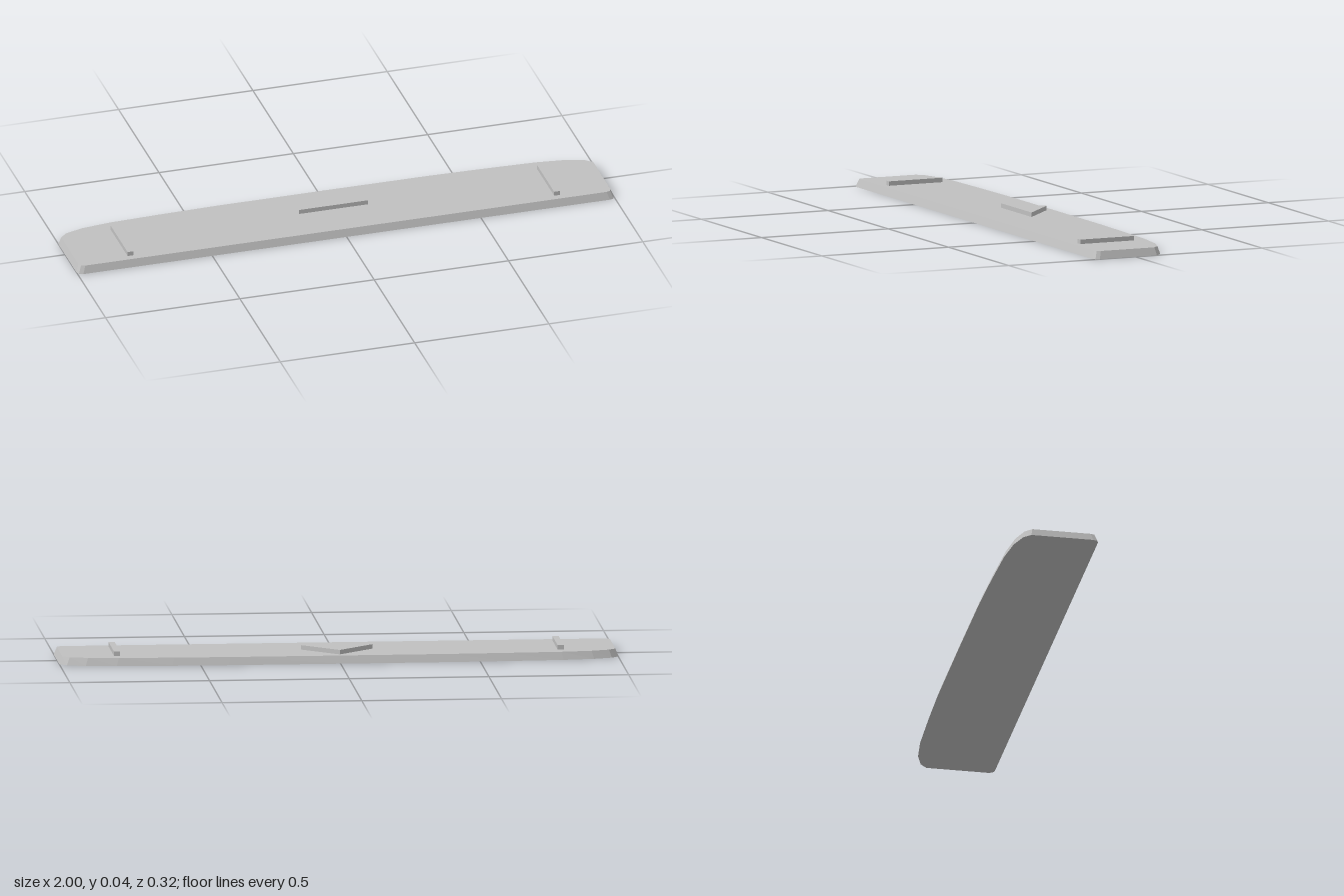
import * as THREE from 'three';

const BASE_H = 0.028; // top of the plate
const TOP_H = 0.044; // top of the raised marks

// Extrudes a floor outline of [x, z] points upwards
function slab(points, y0, y1) {
  const shape = new THREE.Shape(points.map(([x, z]) => new THREE.Vector2(x, -z)));
  const geo = new THREE.ExtrudeGeometry(shape, { depth: y1 - y0, bevelEnabled: false });
  geo.rotateX(-Math.PI / 2);
  geo.translate(0, y0, 0);
  return geo;
}

export function createModel() {
  const group = new THREE.Group();
  const grey = new THREE.MeshStandardMaterial({ color: 0xc0c0c0 });
  grey.name = 'light grey';

  const add = (name, geo) => {
    const mesh = new THREE.Mesh(geo, grey);
    mesh.name = name;
    group.add(mesh);
    return mesh;
  };

  // Plate outline: straight front, bowed back, mirrored left to right
  const half = [
    [0.98, 0.16], [0.995, 0.155], [1, 0.14], [1, -0.085], [0.975, -0.11],
    [0.91, -0.132], [0.8, -0.146], [0.6, -0.154], [0.4, -0.159],
  ];
  const outline = [...half, [0, -0.16], ...half.map(([x, z]) => [-x, z]).reverse()];
  const plate = slab(outline, 0, BASE_H);

  // Sides lean inwards towards the top
  const pos = plate.attributes.position;
  for (let i = 0; i < pos.count; i++) {
    if (pos.getY(i) > BASE_H / 2) {
      pos.setX(i, pos.getX(i) * 0.99);
      pos.setZ(i, pos.getZ(i) * 0.94);
    }
  }
  plate.computeVertexNormals();
  add('plate', plate);

  // Raised triangle pointing to the back
  add('triangleMark', slab([[-0.128, -0.005], [0.128, -0.005], [0, -0.125]], BASE_H - 0.002, TOP_H));

  // Raised bar near each end
  for (const [name, side] of [['leftBar', 1], ['rightBar', -1]]) {
    const height = TOP_H - BASE_H + 0.002;
    add(name, new THREE.BoxGeometry(0.022, height, 0.211))
      .position.set(side * 0.794, TOP_H - height / 2, 0.019);
  }

  return group;
}
